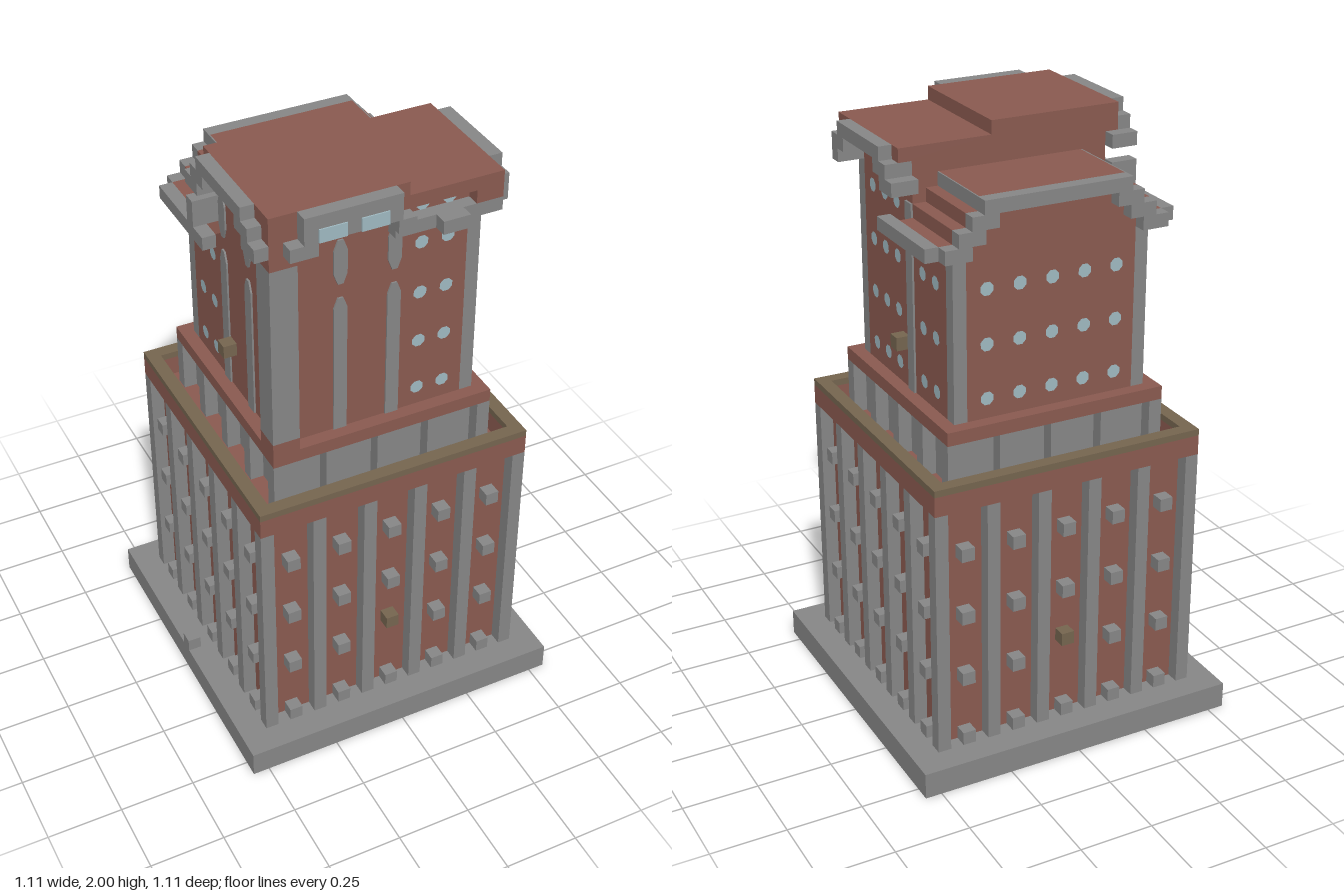
import * as THREE from 'three';

const U = 2 / 45; // one block

export function createModel() {
  const root = new THREE.Group();
  root.name = 'brickTower';
  const mat = (name, color) => {
    const m = new THREE.MeshStandardMaterial({ color });
    m.name = name;
    return m;
  };
  const brick = mat('brick', 0x8a5a50);
  const stone = mat('stone', 0x868686);
  const bronze = mat('bronze', 0x75654f);
  const glass = mat('glass', 0x9fb9c1);

  // Box from block coordinates
  const box = (name, m, x0, x1, y0, y1, z0, z1, parent = root) => {
    const g = new THREE.BoxGeometry((x1 - x0) * U, (y1 - y0) * U, (z1 - z0) * U);
    g.translate((x0 + x1) / 2 * U, (y0 + y1) / 2 * U, (z0 + z1) / 2 * U);
    const mesh = new THREE.Mesh(g, m);
    mesh.name = name;
    parent.add(mesh);
    return mesh;
  };
  // A group whose +z side is turned towards one facade
  const facade = (name, angle) => {
    const g = new THREE.Group();
    g.name = name;
    g.rotation.y = angle;
    root.add(g);
    return g;
  };
  const front = facade('frontFacade', 0);
  const leftSide = facade('leftFacade', Math.PI / 2);
  const back = facade('backFacade', Math.PI);
  const rightSide = facade('rightFacade', -Math.PI / 2);
  const sides = [front, leftSide, back, rightSide];

  // Plinth
  box('plinth', stone, -12.5, 12.5, 0.1, 2, -12.5, 12.5);
  box('plinthEdge', stone, -12.5, 12.5, 0, 0.1, 9.5, 12.5);
  box('plinthEdge', stone, -12.5, 12.5, 0, 0.1, -12.5, -9.5);
  box('plinthEdge', stone, -12.5, -9.5, 0, 0.1, -9.5, 9.5);
  box('plinthEdge', stone, 9.5, 12.5, 0, 0.1, -9.5, 9.5);
  box('plinthUnderside', brick, -9.5, 9.5, 0, 0.1, -9.5, 9.5);
  box('plinthBlock', stone, -12.5, -11.5, 2, 3, -0.5, 0.5);

  // Lower block with piers, projecting sills and a hollow parapet
  box('lowerWalls', brick, -9.5, 9.5, 2, 21, -9.5, 9.5);
  sides.forEach((s) => {
    for (let i = 0; i < 5; i++) {
      const x = -10.5 + i * 4;
      box('lowerPier', stone, x, x + 1, 2, 21, 9.5, 10.5, s);
      for (const y of [2, 7, 12, 17]) {
        const special = i === 2 && y === 7 && (s === front || s === back);
        if (special) box('bronzeLamp', bronze, x + 2, x + 3, 8, 9, 9.5, 10.5, s);
        else box('windowBlock', stone, x + 2, x + 3, y, y + 1, 9.5, 10.5, s);
      }
    }
    box('parapetBand', brick, -10.5, 9.5, 21, 22.5, 9.5, 10.5, s);
    box('parapetCap', bronze, -10.5, 9.5, 22.5, 23, 9.5, 10.5, s);
    for (const x of [-8.5, -4.5, -0.5, 3.5]) {
      box('collarPier', stone, x, x + 1, 21, 25, 7.5, 8.5, s);
    }
  });

  // Collar and ledge
  box('collar', stone, -7.5, 7.5, 21, 25, -7.5, 7.5);
  box('ledge', brick, -8.5, 8.5, 25, 26, -8.5, 8.5);

  // Upper tower: tall front half, lower back half
  box('towerFront', brick, -7.5, 7.5, 26, 43, -1.5, 6.5);
  box('towerFront', brick, -6.5, 6.5, 26, 43, 6.5, 7.5);
  box('towerBack', brick, -7.5, 7.5, 26, 38, -6.5, -1.5);
  box('towerBack', brick, -6.5, 6.5, 26, 38, -7.5, -6.5);
  box('cornerPost', stone, 6.5, 7.5, 26, 42, 6.5, 7.5);
  box('cornerPost', stone, 6.5, 7.5, 26, 38, -7.5, -6.5);
  box('cornerPost', stone, -7.5, -6.5, 26, 38, -7.5, -6.5);
  box('cornerButtressFoot', brick, -8.5, -6.5, 26, 27, 6.5, 8.5);
  box('cornerButtress', stone, -8.5, -6.5, 27, 41, 6.5, 8.5);
  box('cornerButtressHead', brick, -8.5, -6.5, 41, 43, 6.5, 8.5);

  // Flat strips with chamfered ends
  const strip = (s, x, y0, y1, cutLow) => {
    const c = cutLow ? 0.8 : 0;
    const pts = [[-0.5, y0 + c], [-0.2, y0], [0.2, y0], [0.5, y0 + c], [0.5, y1 - 0.8], [0.2, y1], [-0.2, y1], [-0.5, y1 - 0.8]];
    const shape = new THREE.Shape(pts.map(([a, b]) => new THREE.Vector2((x + a) * U, b * U)));
    const mesh = new THREE.Mesh(new THREE.ExtrudeGeometry(shape, { depth: 0.006, bevelEnabled: false }), stone);
    mesh.position.z = 7.5 * U;
    mesh.name = 'wallStrip';
    s.add(mesh);
  };
  for (const x of [-3, 1]) {
    strip(front, x, 26, 36.9, false);
    strip(front, x, 38, 41.4, true);
    strip(rightSide, -x, 26, 36.9, false);
    strip(rightSide, -x, 38, 41.4, true);
  }
  box('wallStrip', stone, 0.5, 1.5, 26, 40, 7.5, 7.65, leftSide);

  // Small round windows
  const dots = (s, xs, ys) => {
    for (const x of xs) for (const y of ys) {
      const mesh = new THREE.Mesh(new THREE.CircleGeometry(0.52 * U, 8, Math.PI / 8), glass);
      mesh.position.set(x * U, y * U, 7.5 * U + 0.003);
      mesh.name = 'roundWindow';
      s.add(mesh);
    }
  };
  const rows = [27.5, 31.5, 35.5];
  dots(front, [3, 5], [...rows, 39.5, 42.5]);
  dots(leftSide, [-5, -3, -1], [...rows, 39.5]);
  dots(leftSide, [3, 5], rows);
  dots(back, [-5, -2.5, 0, 2.5, 5], rows);
  dots(rightSide, [-5, -3], rows);
  box('bronzeLamp', bronze, 7.5, 8.5, 29, 30, -0.5, 0.5);
  box('bronzeLamp', bronze, -8.5, -7.5, 29, 30, -0.5, 0.5);

  // Back roof: stepped gable with stone trim
  const steps = [[8.5, 38], [7.5, 39], [6.5, 40], [5.5, 41]];
  steps.forEach(([h, y], i) => {
    box('backRoofStep', brick, -h, h, y, y + 1, -7.5, -1.5);
    if (i === 3) box('backTrim', stone, -h, h, y, y + 1, -8.5, -7.5);
    else for (const k of [-1, 1]) {
      box('backTrim', stone, k * (h - 1) - 1, k * (h - 1) + 1, y, y + 1, -8.5, -7.5);
    }
  });
  for (const k of [-1, 1]) {
    box('backEave', stone, k * 9 - 0.5, k * 9 + 0.5, 38, 39, -7.5, 0);
    box('backRoofEdge', stone, k * 5.55 - 0.05, k * 5.55 + 0.05, 41, 42, -8.5, -1.5);
  }

  // Front roofs, the right-hand one a block higher
  box('highRoof', brick, -8.5, 1.5, 43, 44, -1.5, 8.5);
  box('highRoofTop', brick, -8.5, 1.5, 44, 45, -1.5, 8.5);
  box('lowRoof', brick, 1.5, 8.5, 43, 44, -1.5, 8.5);

  // Stepped front trim with wide windows
  box('frontTrim', stone, -6.5, 0.5, 44, 45, 8.5, 9.5);
  box('frontTrim', stone, -6.5, 0.5, 43, 44, 8.5, 9.5);
  box('frontTrim', stone, -7.5, -5.5, 42, 43, 8.5, 9.5);
  box('frontTrim', stone, 0.2, 1.5, 42, 43, 7.5, 9.5);
  box('frontTrim', stone, 0.5, 3.5, 41, 42, 7.5, 8.5);
  box('frontTrim', stone, 3.5, 5.5, 41, 42, 7.5, 9.5);
  box('frontTrim', stone, 5.5, 8.5, 41, 42, 7.5, 8.5);
  box('frontCorner', brick, 6.5, 8.5, 42, 43, 7.5, 8.5);
  for (const x of [-5.5, -2.5]) box('wideWindow', glass, x, x + 2, 43, 44, 9.5, 9.6);

  // Stepped side trim
  box('leftTrim', stone, 8.5, 9.5, 43, 44, -0.5, 6.5);
  box('leftTrim', stone, 7.5, 9.5, 42, 43, 5.5, 7.5);
  box('leftTrim', stone, 7.5, 9.5, 42, 43, -1.5, 0.5);
  box('leftTrim', stone, 7.5, 9.5, 41, 42, 6.5, 7.5);
  box('leftTrim', stone, 7.5, 9.5, 41, 42, -2.5, -0.5);
  box('rightTrim', stone, -9.5, -8.5, 44, 45, -0.5, 6.5);
  box('rightTrim', stone, -9.5, -8.5, 43, 44, 5.5, 7.5);
  box('rightTrim', stone, -9.5, -8.5, 43, 44, -1.5, 0.5);
  box('rightTrim', stone, -9.5, -8.5, 42, 43, 6.5, 8.5);
  box('rightTrim', stone, -9.5, -7.5, 42, 43, -2.5, -0.5);
  box('rightTrim', stone, -9.5, -7.5, 39, 41, -2.5, -1.5);

  return root;
}
